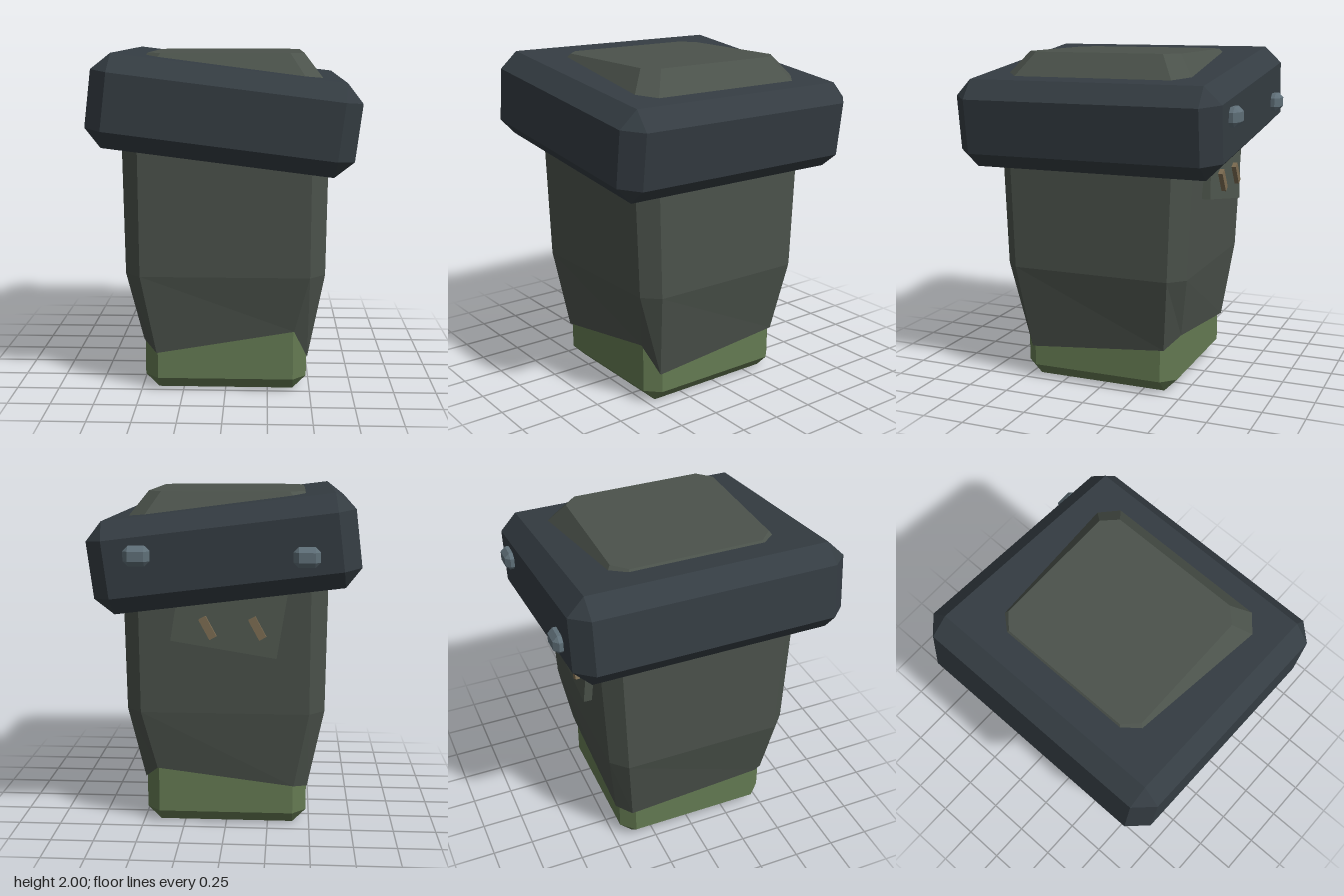
import * as THREE from 'three';
import { ConvexGeometry } from 'three/addons/geometries/ConvexGeometry.js';

const material = (color, side = THREE.FrontSide) => {
  const m = new THREE.MeshStandardMaterial({ color, flatShading: true, side });
  return m;
};

// Box with all twelve edges bevelled by c
function bevelBox(w, h, d, c) {
  const [x, y, z] = [w / 2, h / 2, d / 2];
  const points = [];
  for (const i of [-1, 1]) for (const j of [-1, 1]) for (const k of [-1, 1]) {
    points.push(
      new THREE.Vector3(i * x, j * (y - c), k * (z - c)),
      new THREE.Vector3(i * (x - c), j * y, k * (z - c)),
      new THREE.Vector3(i * (x - c), j * (y - c), k * z));
  }
  return new ConvexGeometry(points);
}

// Eight-point ring with cut corners; y is one height or one per point
function ring(hx, front, back, c, y) {
  return [
    [hx, front - c], [hx, back + c], [hx - c, back], [c - hx, back],
    [-hx, back + c], [-hx, front - c], [c - hx, front], [hx - c, front],
  ].map(([x, z], i) => [x, Array.isArray(y) ? y[i] : y, z]);
}

// Skin over stacked rings, open below and capped on top
function loft(rings) {
  const n = rings[0].length, index = [];
  for (let r = 0; r < rings.length - 1; r++) {
    for (let i = 0; i < n; i++) {
      const a = r * n + i, b = r * n + (i + 1) % n;
      index.push(a, b, a + n, b, b + n, a + n);
    }
  }
  const top = (rings.length - 1) * n;
  for (let i = 1; i < n - 1; i++) index.push(top, top + i, top + i + 1);
  const g = new THREE.BufferGeometry();
  g.setAttribute('position', new THREE.Float32BufferAttribute(rings.flat(2), 3));
  g.setIndex(index);
  g.computeVertexNormals();
  return g;
}

export function createModel() {
  const model = new THREE.Group();
  const add = (name, geometry, mat, x, y, z, rx = 0, rz = 0) => {
    const mesh = new THREE.Mesh(geometry, mat);
    mesh.name = name;
    mesh.position.set(x, y, z);
    mesh.rotation.set(rx, 0, rz);
    model.add(mesh);
    return mesh;
  };

  // Green foot showing under the ragged hem
  add('base', bevelBox(0.96, 0.7, 0.975, 0.08), material(0x647a52), 0, 0.35, 0.032);

  // Cloth body: uneven hem, tapered skirt, sloped crown
  const hem = [0.2, 0.28, 0.36, 0.26, 0.24, 0.3, 0.24, 0.38];
  add('body', loft([
    ring(0.485, 0.535, -0.48, 0.08, hem),
    ring(0.58, 0.6, -0.54, 0.09, 0.72),
    ring(0.59, 0.64, -0.59, 0.1, 1.8),
    ring(0.445, 0.495, -0.45, 0.08, 1.99),
  ]), material(0x4b524b, THREE.DoubleSide), 0, 0, 0);

  // Tilted heavy band around the top
  add('band', bevelBox(1.49, 0.52, 1.61, 0.1), material(0x343c42), -0.003, 1.66, 0.025, 0, -0.124);

  // Bolts on the back of the band
  const steel = material(0x5f6f78);
  for (const s of [-1, 1]) {
    add('bolt', bevelBox(0.145, 0.11, 0.12, 0.028), steel, s * 0.46, 1.662, -0.771);
  }

  // Crooked patch on the back with two slanted stitches
  add('patch', new THREE.BoxGeometry(0.61, 0.4, 0.05), material(0x4f574e), -0.03, 1.31, -0.582, 0.04, 0.16);
  const thread = material(0x7a6a50);
  for (const x of [0.09, -0.19]) {
    add('stitch', new THREE.BoxGeometry(0.045, 0.13, 0.05), thread, x, 1.24, -0.612, 0.04, -0.5);
  }
  return model;
}
